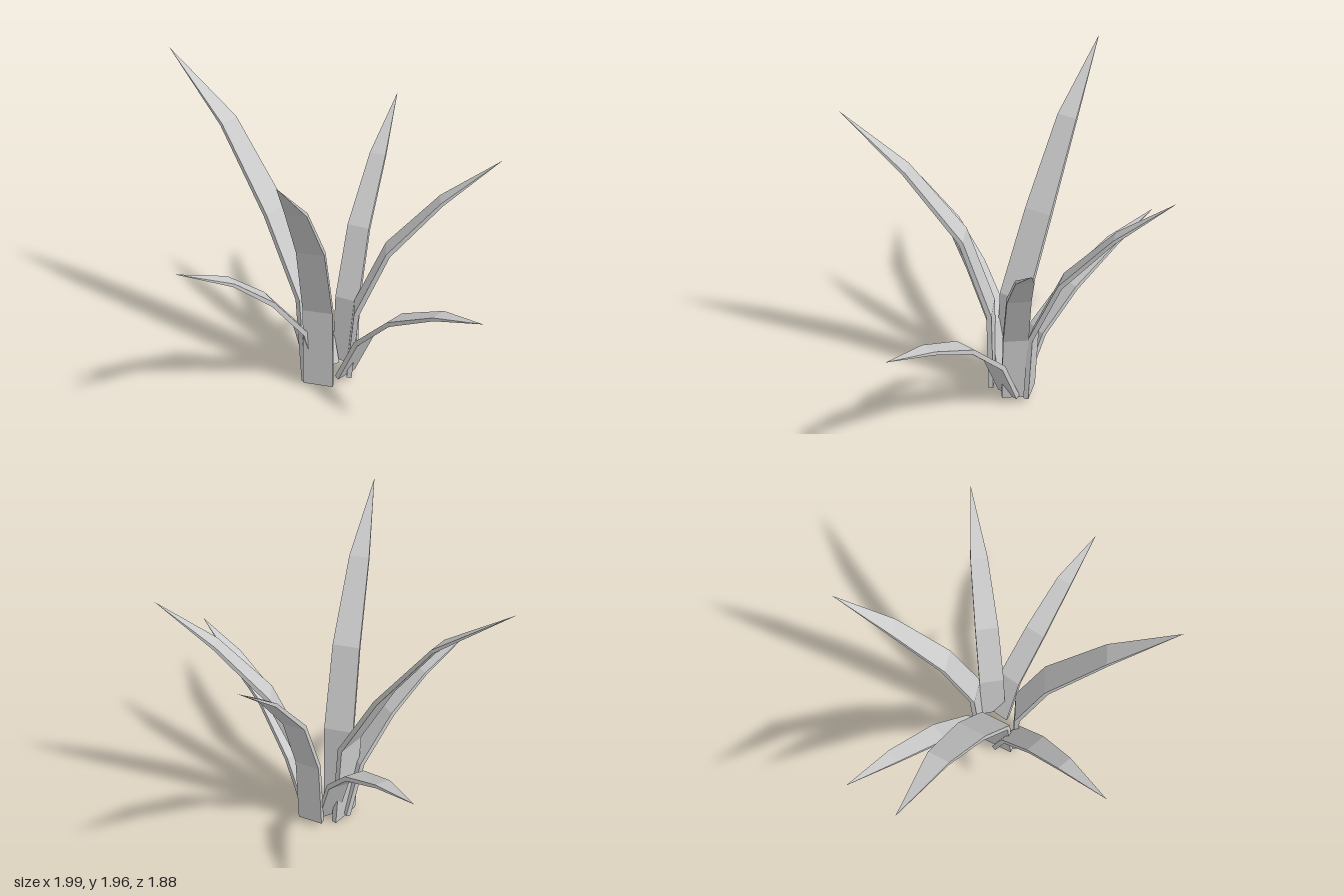
import * as THREE from 'three';

const material = new THREE.MeshStandardMaterial({ color: 0xcccccc, flatShading: true });
const TAPER = [1, 0.97, 0.88, 0.64, 0]; // width and thickness from base to tip
const THICKNESS = 0.032;

// A solid blade: rectangular cross-sections along a bent midrib, closing in a point.
function createLeaf(name, width, points) {
  const mid = points.map((p) => new THREE.Vector3(...p));
  const last = mid.length - 1;
  const reach = mid[last].clone().sub(mid[0]);
  const side = new THREE.Vector3(-reach.z, 0, reach.x).normalize();
  const positions = [];
  mid.forEach((p, i) => {
    const tangent = mid[Math.min(i + 1, last)].clone().sub(mid[Math.max(i - 1, 0)]).normalize();
    const normal = tangent.cross(side).normalize();
    const w = (width / 2) * TAPER[i];
    const h = (THICKNESS / 2) * TAPER[i];
    for (const [a, b] of [[1, 1], [-1, 1], [-1, -1], [1, -1]]) {
      const v = p.clone().addScaledVector(side, a * w).addScaledVector(normal, b * h);
      positions.push(v.x, v.y, v.z);
    }
  });
  const index = [0, 2, 1, 0, 3, 2]; // base cap
  for (let i = 0; i < last; i++) {
    for (let j = 0; j < 4; j++) {
      const a = i * 4 + j;
      const b = i * 4 + ((j + 1) % 4);
      index.push(a, b, b + 4);
      if (i < last - 1) index.push(a, b + 4, a + 4); // the tip needs only one triangle
    }
  }
  const indexed = new THREE.BufferGeometry();
  indexed.setAttribute('position', new THREE.Float32BufferAttribute(positions, 3));
  indexed.setIndex(index);
  const geometry = indexed.toNonIndexed();
  geometry.computeVertexNormals();
  const leaf = new THREE.Mesh(geometry, material);
  leaf.name = name;
  return leaf;
}

export function createModel() {
  const plant = new THREE.Group();
  plant.name = 'plant';
  // name, width, midrib from base to tip
  const leaves = [
    ['frontLeaf', 0.19,
      [[-0.045, 0.03, 0.098], [-0.045, 0.6, 0.105], [-0.07, 1.12, 0.265], [-0.112, 1.56, 0.58], [-0.165, 1.91, 0.935]]],
    ['tallRightLeaf', 0.2,
      [[-0.09, 0.01, -0.02], [-0.125, 0.62, -0.045], [-0.335, 1.11, -0.2], [-0.625, 1.605, -0.385], [-1, 1.97, -0.6]]],
    ['leftLeaf', 0.16,
      [[0.14, 0.045, -0.035], [0.18, 0.53, -0.04], [0.36, 0.96, -0.05], [0.66, 1.305, -0.065], [0.99, 1.575, -0.08]]],
    ['backLeaf', 0.16,
      [[0.105, 0.05, -0.13], [0.117, 0.52, -0.15], [0.17, 0.95, -0.315], [0.265, 1.31, -0.595], [0.365, 1.59, -0.9]]],
    ['frontLeftLeaf', 0.15,
      [[0.115, 0.05, 0], [0.235, 0.39, 0.09], [0.425, 0.675, 0.265], [0.67, 0.865, 0.465], [0.905, 0.98, 0.68]]],
    ['frontRightLeaf', 0.15,
      [[-0.08, 0.03, 0.005], [-0.16, 0.42, 0.055], [-0.335, 0.725, 0.19], [-0.53, 0.935, 0.33], [-0.8, 1.1, 0.527]]],
    ['backRightLeaf', 0.14,
      [[0.005, 0.05, -0.065], [-0.07, 0.41, -0.19], [-0.19, 0.67, -0.4], [-0.37, 0.86, -0.67], [-0.553, 0.977, -0.943]]],
  ];
  for (const leaf of leaves) plant.add(createLeaf(...leaf));
  return plant;
}
